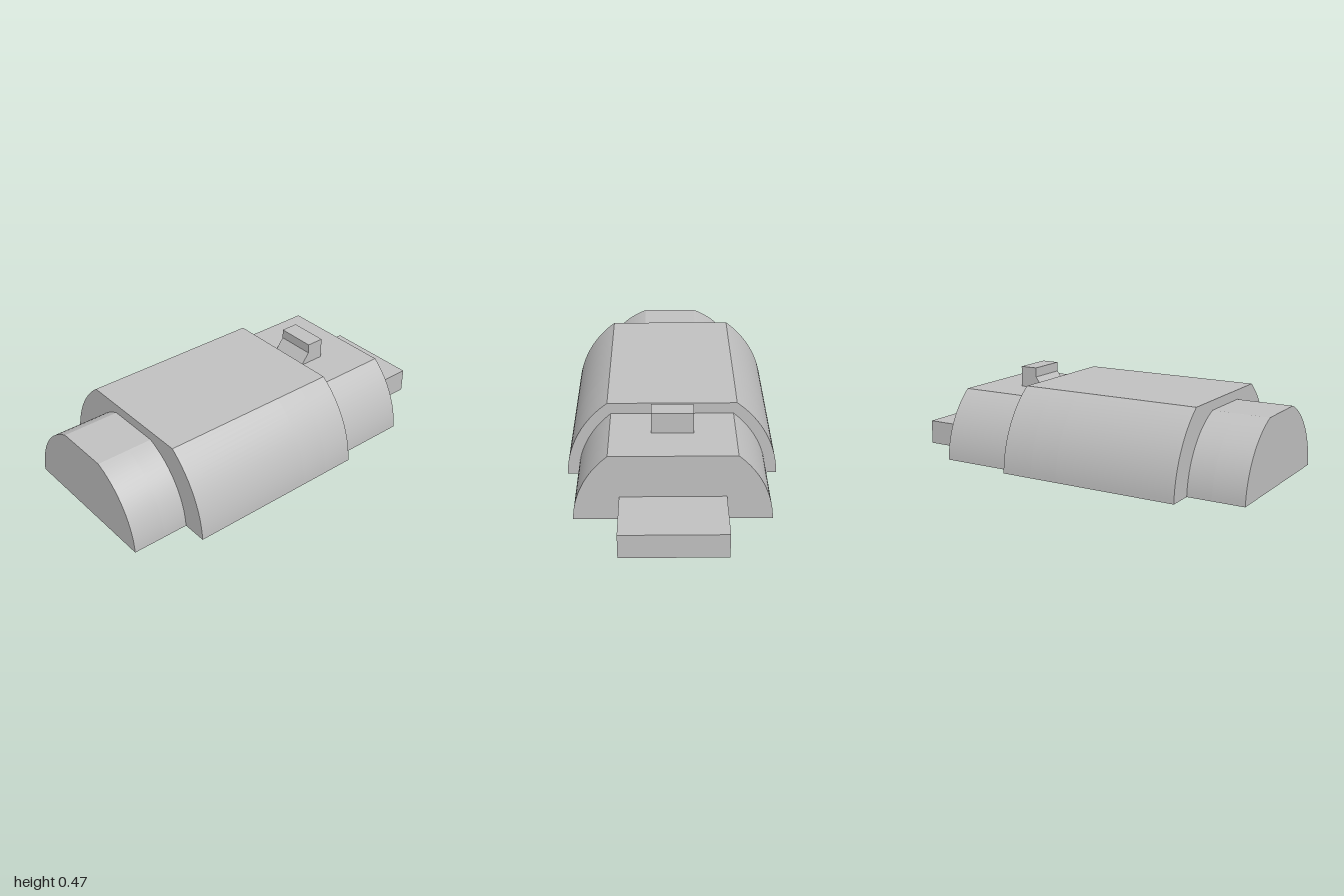
import * as THREE from 'three';
import { toCreasedNormals } from 'three/addons/utils/BufferGeometryUtils.js';

const grey = new THREE.MeshStandardMaterial({ color: 0xc0c0c0 });
grey.name = 'grey';

const DROP = 0.018; // the arcs are centred a little below the base
const DEPTH = 0.15; // depth of the sockets in the underside
const HALF = 0.07; // half width of a socket

// Flat-topped arch, with square notches in its base centred on the given x values
function archShape(halfWidth, height, notches) {
  const radius = Math.hypot(halfWidth, DROP);
  const start = Math.asin(DROP / radius);
  const end = Math.asin((height + DROP) / radius);
  const side = [];
  for (let i = 0; i <= 20; i++) {
    const a = start + ((end - start) * i) / 20;
    side.push(new THREE.Vector2(radius * Math.cos(a), radius * Math.sin(a) - DROP));
  }
  const mirrored = side.map((p) => new THREE.Vector2(-p.x, p.y)).reverse();
  const base = notches.flatMap((x) => [
    new THREE.Vector2(x - HALF, 0),
    new THREE.Vector2(x - HALF, DEPTH),
    new THREE.Vector2(x + HALF, DEPTH),
    new THREE.Vector2(x + HALF, 0),
  ]);
  return new THREE.Shape([...side, ...mirrored, ...base]);
}

// One length of arched body between two z positions
function archSlice(halfWidth, height, [z0, z1, notches]) {
  const geometry = new THREE.ExtrudeGeometry(archShape(halfWidth, height, notches), {
    depth: z1 - z0,
    bevelEnabled: false,
  });
  geometry.translate(0, 0, z0);
  return new THREE.Mesh(toCreasedNormals(geometry, 0.25), grey);
}

function archedSection(name, halfWidth, height, slices) {
  const section = new THREE.Group();
  section.name = name;
  slices.forEach((slice, i) => {
    const mesh = archSlice(halfWidth, height, slice);
    mesh.name = `${name}Slice${i + 1}`;
    section.add(mesh);
  });
  return section;
}

export function createModel() {
  const model = new THREE.Group();
  model.name = 'archedBlock';

  // Three arched sections; notched slices form the sockets underneath
  model.add(
    archedSection('frontSection', 0.415, 0.37, [
      [0.7, 0.83, [0]],
      [0.83, 1, []],
    ]),
    archedSection('mainBody', 0.548, 0.42, [
      [-0.28, -0.11, []],
      [-0.11, 0.04, [-0.355, 0.355]],
      [0.04, 0.685, []],
      [0.685, 0.7, [0]],
    ]),
    archedSection('rearSection', 0.49, 0.36, [[-0.69, -0.28, []]])
  );

  // Flat tongue at the back
  const tongue = new THREE.Mesh(new THREE.BoxGeometry(0.524, 0.13, 0.31), grey);
  tongue.name = 'rearTongue';
  tongue.position.set(0, 0.065, -0.845);
  model.add(tongue);

  // Raised catch with a sloping foot, drawn in (z, y) and extruded across x
  const profile = new THREE.Shape(
    [[-0.335, 0.36], [-0.38, 0.42], [-0.38, 0.47], [-0.475, 0.47], [-0.475, 0.36]].map(
      ([z, y]) => new THREE.Vector2(-z, y)
    )
  );
  const catchGeometry = new THREE.ExtrudeGeometry(profile, { depth: 0.21, bevelEnabled: false });
  catchGeometry.translate(0, 0, -0.105);
  catchGeometry.rotateY(Math.PI / 2);
  const topCatch = new THREE.Mesh(catchGeometry, grey);
  topCatch.name = 'topCatch';
  model.add(topCatch);

  return model;
}
